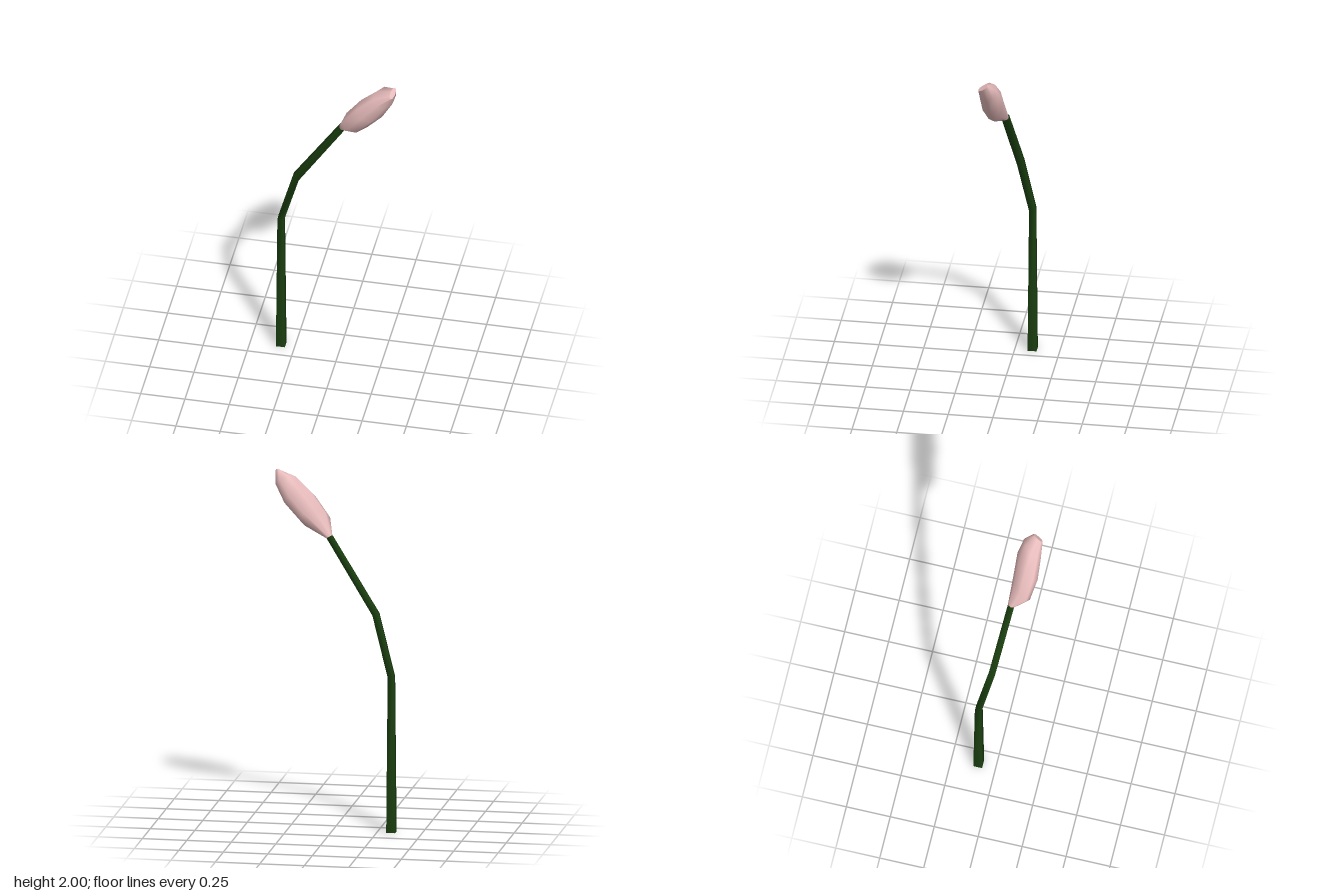
import * as THREE from 'three';

// Smooth skin over elliptical rings; each ring is [centre, half-axis u, half-axis v]
function loft(rings, sides, phase = 0, scale = 1) {
  const pos = [], index = [];
  const ringPoint = ([c, u, v], j) => {
    const a = phase + (j / sides) * Math.PI * 2;
    const p = Math.cos(a) * scale, q = Math.sin(a) * scale;
    return c.map((n, k) => n + u[k] * p + v[k] * q);
  };
  for (const ring of rings)
    for (let j = 0; j < sides; j++) pos.push(...ringPoint(ring, j));
  for (let i = 0; i < rings.length - 1; i++)
    for (let j = 0; j < sides; j++) {
      const a = i * sides + j, b = i * sides + (j + 1) % sides;
      index.push(a, a + sides, b, b, a + sides, b + sides);
    }
  // End caps with their own vertices, so their rims stay sharp
  for (const [ring, top] of [[rings[0], false], [rings[rings.length - 1], true]]) {
    const start = pos.length / 3;
    pos.push(...ring[0]);
    for (let j = 0; j < sides; j++) pos.push(...ringPoint(ring, j));
    for (let j = 0; j < sides; j++) {
      const a = start + 1 + j, b = start + 1 + (j + 1) % sides;
      index.push(start, top ? b : a, top ? a : b);
    }
  }
  const geometry = new THREE.BufferGeometry();
  geometry.setAttribute('position', new THREE.Float32BufferAttribute(pos, 3));
  geometry.setIndex(index);
  geometry.computeVertexNormals();
  return geometry;
}

function part(name, geometry, color) {
  const mesh = new THREE.Mesh(geometry, new THREE.MeshStandardMaterial({ color }));
  mesh.name = name;
  return mesh;
}

export function createModel() {
  const group = new THREE.Group();
  group.name = 'flowerBud';

  // Square stem, upright below and bending sideways and forward above
  const stem = [
    [[-0.328, 0, -0.098], [0.025, 0, 0], [0, 0, 0.025]],
    [[-0.328, 0.88, -0.098], [0.018, -0.003, 0], [0, -0.003, 0.018]],
    [[-0.232, 1.22, -0.046], [0.017, -0.008, 0], [0, -0.004, 0.018]],
    [[0.037, 1.64, -0.001], [0.014, -0.008, 0], [0, -0.003, 0.018]],
  ];
  group.add(part('stem', loft(stem, 4, Math.PI / 4, Math.SQRT2), 0x1b4010));

  // Closed bud, its rings tilted forward
  const bud = [
    [[0.037, 1.638, 0], [0.016, -0.009, 0], [-0.003, -0.004, 0.02]],
    [[0.127, 1.73, 0.038], [0.058, -0.041, 0], [-0.054, -0.04, 0.058]],
    [[0.213, 1.833, 0.05], [0.059, -0.05, 0], [-0.052, -0.035, 0.07]],
    [[0.286, 1.925, 0.06], [0.046, -0.036, 0], [-0.036, -0.03, 0.056]],
    [[0.338, 1.978, 0.08], [0.012, -0.01, 0], [-0.009, -0.021, 0.028]],
  ];
  group.add(part('bud', loft(bud, 8), 0xe8bcbc));

  return group;
}
